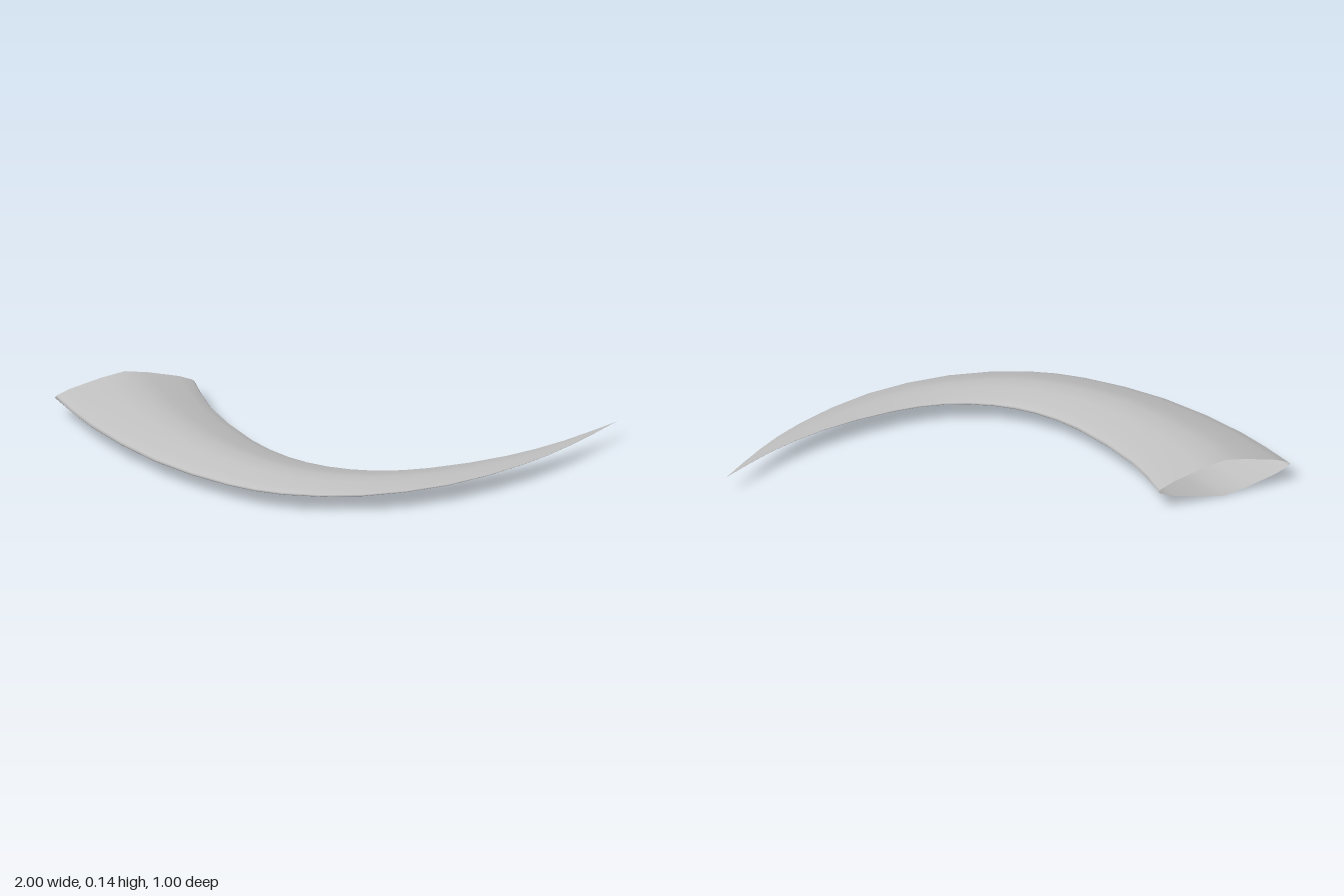
import * as THREE from 'three';

const STEPS = 18;
const MID_Y = 0.0725;

// Rim curves of the horn seen from above, as [x, z]
const OUTER = [[-1, -0.07], [-0.8, 0.13], [-0.48, 0.355], [-0.165, 0.475], [0.05, 0.495],
  [0.33, 0.42], [0.595, 0.235], [0.8, -0.03], [0.91, -0.25], [1, -0.5]];
const INNER = [[-0.565, -0.365], [-0.435, -0.16], [-0.195, 0.08], [-0.025, 0.18], [0.135, 0.215],
  [0.31, 0.195], [0.485, 0.11], [0.715, -0.08], [0.87, -0.275], [1, -0.5]];

// Upper half of the lens section, outer rim to inner rim: [position across, height]
const HALF = [[-1, 0], [-0.97, 0.12], [-0.77, 0.4], [-0.34, 0.79], [0, 1],
  [0.34, 0.79], [0.77, 0.4], [0.97, 0.12], [1, 0]];

function rim(points) {
  return new THREE.CatmullRomCurve3(points.map(([x, z]) => new THREE.Vector3(x, MID_Y, z))).getPoints(STEPS);
}

function hornGeometry() {
  const lower = HALF.slice(1, -1).reverse().map(([u, h]) => [u, -h]);
  const section = [...HALF, ...lower];
  const n = section.length;
  const outer = rim(OUTER), inner = rim(INNER);
  const positions = [], index = [];
  const p = new THREE.Vector3();

  for (let i = 0; i <= STEPS; i++) {
    // Thickness tapers evenly along x down to the tip
    const midX = (outer[i].x + inner[i].x) / 2;
    const height = Math.min(MID_Y, MID_Y * (1 - midX) / 1.7825);
    for (const [u, h] of section) {
      p.lerpVectors(outer[i], inner[i], (u + 1) / 2);
      positions.push(p.x, MID_Y + h * height, p.z);
    }
  }
  for (let i = 0; i < STEPS; i++) {
    for (let j = 0; j < n; j++) {
      const k = (j + 1) % n;
      const a = i * n + j, b = (i + 1) * n + j, c = (i + 1) * n + k, d = i * n + k;
      index.push(a, b, d);
      if (i < STEPS - 1) index.push(b, c, d);
    }
  }
  const geometry = new THREE.BufferGeometry();
  geometry.setAttribute('position', new THREE.Float32BufferAttribute(positions, 3));
  geometry.setIndex(index);
  geometry.computeVertexNormals();
  return geometry;
}

export function createModel() {
  const group = new THREE.Group();
  group.name = 'curvedHorn';

  // Hollow shell, open at the wide end
  const hornGrey = new THREE.MeshStandardMaterial({ color: 0xc0c0c0, side: THREE.DoubleSide });
  hornGrey.name = 'hornGrey';
  const horn = new THREE.Mesh(hornGeometry(), hornGrey);
  horn.name = 'hornShell';
  group.add(horn);
  return group;
}
